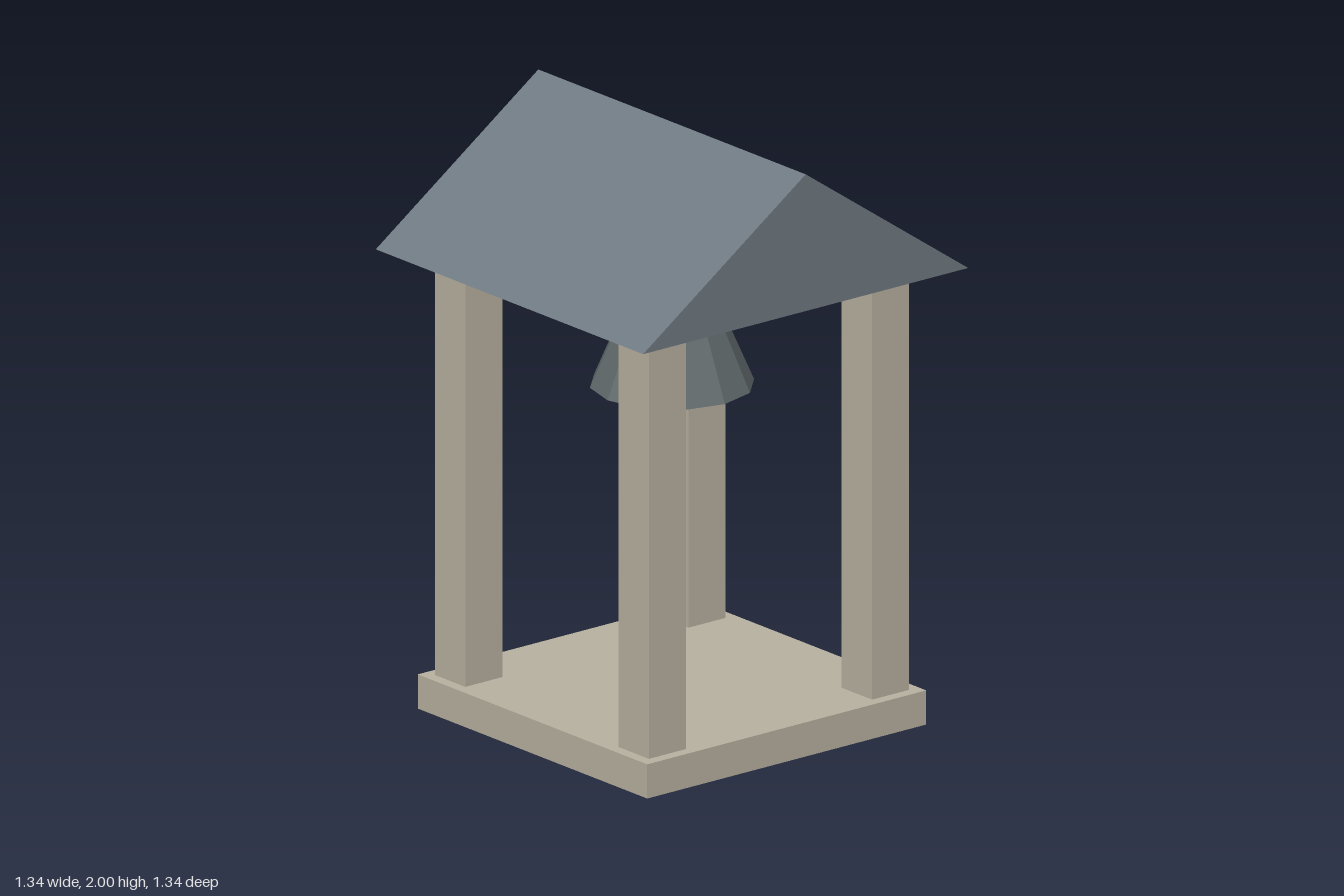
import * as THREE from 'three';

const material = (color) => new THREE.MeshStandardMaterial({ color, flatShading: true });

export function createModel() {
  const group = new THREE.Group();
  const stone = material(0xb8b2a0);
  const slate = material(0x707a82);
  const bronze = material(0x626b6d);

  const add = (name, geometry, mat, x, y, z) => {
    const mesh = new THREE.Mesh(geometry, mat);
    mesh.name = name;
    mesh.position.set(x, y, z);
    group.add(mesh);
  };

  // Square base slab
  add('base', new THREE.BoxGeometry(1.15, 0.115, 1.15), stone, 0, 0.0575, 0);

  // Four corner posts, from slab to roof
  const post = new THREE.BoxGeometry(0.153, 1.425, 0.153);
  for (const x of [-1, 1]) {
    for (const z of [-1, 1]) {
      const name = (z > 0 ? 'front' : 'back') + (x > 0 ? 'Left' : 'Right') + 'Post';
      add(name, post, stone, x * 0.46, 0.115 + 1.425 / 2, z * 0.46);
    }
  }

  // Solid gable roof with the ridge along z
  const gable = new THREE.Shape();
  gable.moveTo(-0.67, 0);
  gable.lineTo(0.67, 0);
  gable.lineTo(0, 0.46);
  gable.closePath();
  const roof = new THREE.ExtrudeGeometry(gable, { depth: 1.34, bevelEnabled: false });
  add('roof', roof, slate, 0, 1.54, -0.67);

  // Faceted bell with its clapper
  add('bell', new THREE.CylinderGeometry(0.134, 0.265, 0.305, 12), bronze, 0, 1.273, 0);
  add('clapper', new THREE.SphereGeometry(0.04, 8, 6), bronze, 0, 1.09, 0);

  return group;
}
